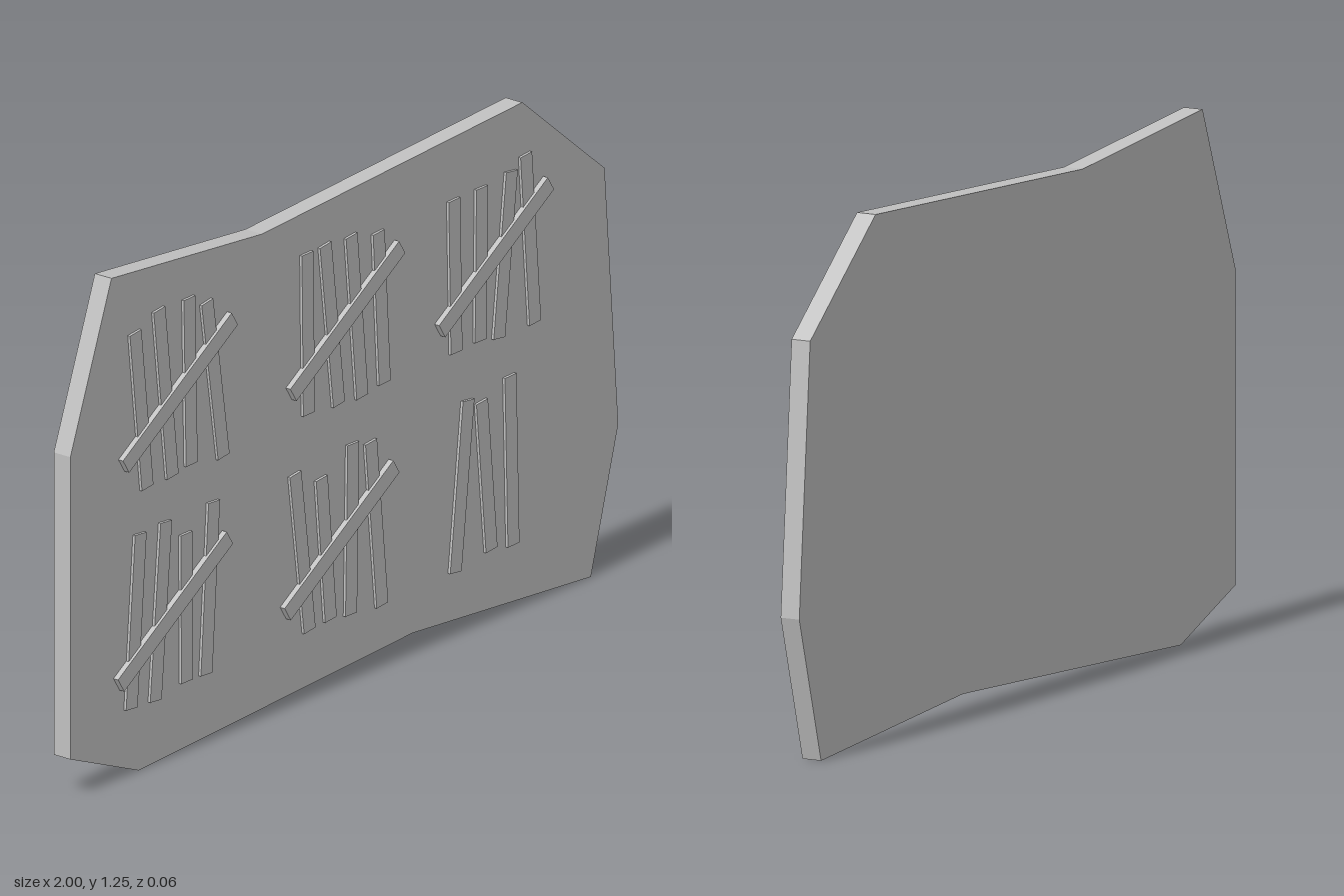
import * as THREE from 'three';

const FRONT = 0.018, BACK = -0.032, MARK_WIDTH = 0.042;

// Slab outline, counter-clockwise from the lower left
const OUTLINE = [
  [-1, 0.1], [-0.75, 0], [0.25, 0.05], [0.9, 0], [1, 0.35],
  [0.95, 1], [0.65, 1.25], [-0.3, 1.2], [-0.85, 1.25], [-1, 0.85],
];

// Each tally: upright strokes as [topX, topY, bottomX, bottomY], and the centre of the crossing stroke
const TALLIES = [
  { cross: [-0.615, 0.901], strokes: [[-0.77, 1.093, -0.726, 0.696], [-0.683, 1.125, -0.634, 0.697], [-0.573, 1.122, -0.565, 0.707], [-0.508, 1.093, -0.448, 0.692]] },
  { cross: [-0.004, 0.901], strokes: [[-0.142, 1.107, -0.137, 0.707], [-0.076, 1.109, -0.027, 0.699], [0.019, 1.104, 0.058, 0.693], [0.118, 1.084, 0.14, 0.704]] },
  { cross: [0.539, 0.901], strokes: [[0.394, 1.084, 0.402, 0.703], [0.495, 1.085, 0.49, 0.706], [0.604, 1.094, 0.558, 0.693], [0.656, 1.12, 0.689, 0.693]] },
  { cross: [-0.633, 0.363], strokes: [[-0.751, 0.589, -0.784, 0.164], [-0.658, 0.592, -0.696, 0.158], [-0.584, 0.541, -0.582, 0.173], [-0.483, 0.591, -0.511, 0.17]] },
  { cross: [-0.025, 0.363], strokes: [[-0.186, 0.572, -0.134, 0.169], [-0.09, 0.534, -0.057, 0.174], [0.025, 0.587, 0.017, 0.165], [0.09, 0.572, 0.131, 0.155]] },
  { cross: null, strokes: [[0.446, 0.572, 0.399, 0.158], [0.495, 0.554, 0.53, 0.176], [0.599, 0.588, 0.61, 0.165]] },
];

export function createModel() {
  const stone = new THREE.MeshStandardMaterial({ color: 0xc1c1c1 });
  stone.name = 'light stone grey';
  const model = new THREE.Group();
  model.name = 'tallySlab';

  // Stone slab
  const shape = new THREE.Shape(OUTLINE.map(([x, y]) => new THREE.Vector2(x, y)));
  const slabGeometry = new THREE.ExtrudeGeometry(shape, { depth: FRONT - BACK, bevelEnabled: false });
  slabGeometry.translate(0, 0, BACK);
  const slab = new THREE.Mesh(slabGeometry, stone);
  slab.name = 'slab';
  model.add(slab);

  // A flat bar lying on the slab, sunk slightly below its front face
  function bar(name, length, x, y, angle, zFrom, zTo) {
    const mesh = new THREE.Mesh(new THREE.BoxGeometry(MARK_WIDTH, length, zTo - zFrom), stone);
    mesh.name = name;
    mesh.position.set(x, y, (zFrom + zTo) / 2);
    mesh.rotation.z = angle;
    return mesh;
  }

  // Tally marks
  for (const { cross, strokes } of TALLIES) {
    const tally = new THREE.Group();
    tally.name = 'tally';
    for (const [tx, ty, bx, by] of strokes) {
      const dx = tx - bx, dy = ty - by;
      tally.add(bar('uprightStroke', Math.hypot(dx, dy), (tx + bx) / 2, (ty + by) / 2,
        Math.atan2(-dx, dy), FRONT - 0.004, FRONT + 0.007));
    }
    if (cross) {
      tally.add(bar('crossStroke', 0.47, cross[0], cross[1],
        THREE.MathUtils.degToRad(32.4 - 90), FRONT - 0.004, FRONT + 0.014));
    }
    model.add(tally);
  }
  return model;
}
